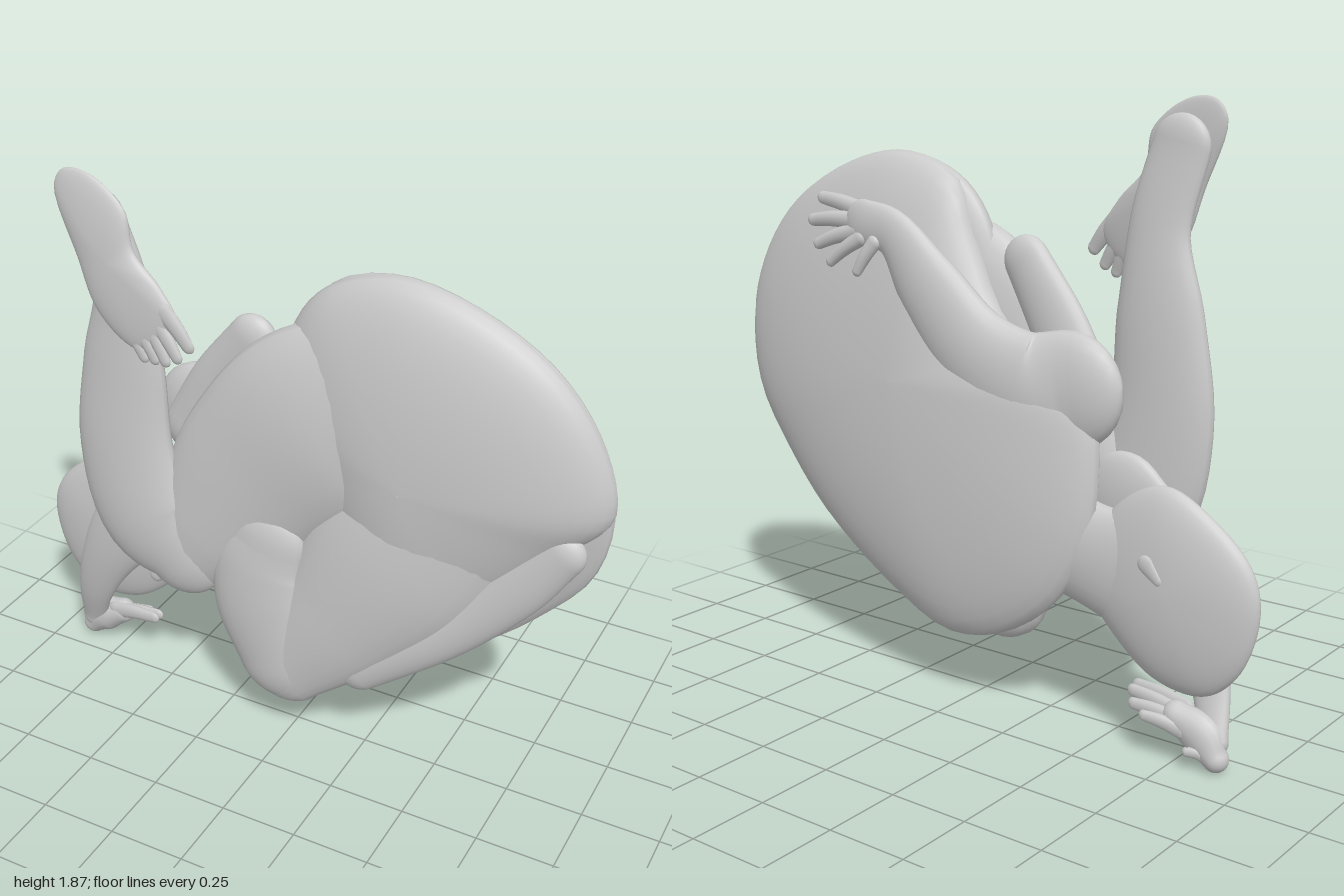
import * as THREE from 'three';

const material = new THREE.MeshStandardMaterial({ color: 0xcccccc, side: THREE.DoubleSide });

// Skin a list of closed rings; the winding is turned outward by signed volume.
function loft(name, rings) {
  const n = rings[0].length, index = [], pts = rings.flat();
  let volume = 0;
  for (let i = 0; i < rings.length - 1; i++) {
    for (let j = 0; j < n; j++) {
      const a = i * n + j, b = i * n + (j + 1) % n;
      for (const t of [[a, b, a + n], [b, b + n, a + n]]) {
        index.push(...t);
        volume += pts[t[0]].dot(pts[t[1]].clone().cross(pts[t[2]]));
      }
    }
  }
  if (volume < 0) index.reverse();
  const geometry = new THREE.BufferGeometry().setFromPoints(pts);
  geometry.setIndex(index);
  geometry.computeVertexNormals();
  const mesh = new THREE.Mesh(geometry, material);
  mesh.name = name;
  return mesh;
}

// Flattened limb with round ends. Stations: [x, y, z, half width, half depth].
function limb(name, stations, steps = 28, sides = 24) {
  const path = new THREE.CatmullRomCurve3(stations.map(s => new THREE.Vector3(s[0], s[1], s[2])));
  const size = new THREE.CatmullRomCurve3(stations.map(s => new THREE.Vector3(s[3], s[4], 0)));
  const rings = [];
  const section = (t, angle, end) => {
    const c = path.getPoint(t), s = size.getPoint(t), dir = path.getTangent(t);
    dir.z = 0;
    dir.normalize();
    c.addScaledVector(dir, end * s.x * Math.sin(angle));
    const k = Math.max(Math.cos(angle), 0.004), ring = [];
    for (let j = 0; j < sides; j++) {
      const a = j / sides * Math.PI * 2, u = Math.cos(a) * s.x * k;
      ring.push(new THREE.Vector3(c.x - dir.y * u, c.y + dir.x * u, c.z + Math.sin(a) * s.y * k));
    }
    rings.push(ring);
  };
  const cap = 7;
  for (let i = cap; i > 0; i--) section(0, i / cap * Math.PI / 2, -1);
  for (let i = 0; i <= steps; i++) section(i / steps, 0, 0);
  for (let i = 1; i <= cap; i++) section(1, i / cap * Math.PI / 2, 1);
  return loft(name, rings);
}

// Domed mass inside a smooth outline; its mid plane may lean in x and y.
function dome(name, outline, [cx, cy, cz], front, back, leanX = 0, leanY = 0) {
  const curve = new THREE.CatmullRomCurve3(outline.map(p => new THREE.Vector3(p[0], p[1], 0)), true);
  const edge = curve.getPoints(64).slice(0, 64), rings = [], steps = 24;
  for (let i = 0; i <= steps; i++) {
    const a = (i / steps - 0.5) * Math.PI;
    const k = Math.max(Math.cos(a), 0.004), h = Math.sin(a);
    rings.push(edge.map(p => {
      const dx = (p.x - cx) * k, dy = (p.y - cy) * k;
      return new THREE.Vector3(cx + dx, cy + dy, cz + dx * leanX + dy * leanY + h * (h > 0 ? front : back));
    }));
  }
  return loft(name, rings);
}

// Fingers or toes: each entry is [x0, y0, z0, x1, y1, z1, radius].
function digits(name, list, depth) {
  const group = new THREE.Group();
  group.name = name;
  list.forEach(([x0, y0, z0, x1, y1, z1, r], i) => group.add(limb(name + (i + 1), [
    [x0, y0, z0, r * 1.15, depth],
    [(x0 + x1) / 2, (y0 + y1) / 2 + 0.005, (z0 + z1) / 2, r, depth],
    [x1, y1, z1, r * 0.8, depth * 0.7],
  ], 8, 10)));
  return group;
}

export function createModel() {
  const model = new THREE.Group();
  model.name = 'curledFigure';

  // Back and shoulders, then the hips in front of them
  const rump = [[0.11, 1.62], [0.32, 1.69], [0.55, 1.65], [0.8, 1.51], [0.95, 1.31], [0.995, 1.1]];
  model.add(dome('torso', [
    [-0.35, 1.08], [-0.12, 1.2], [0.02, 1.44], ...rump,
    [0.95, 0.88], [0.8, 0.68], [0.6, 0.49], [0.3, 0.31], [0.05, 0.22],
    [-0.15, 0.26], [-0.35, 0.4], [-0.46, 0.6], [-0.48, 0.85], [-0.45, 1],
  ], [0.25, 1, -0.045], 0.08, 0.14, 0.06, 0.075));
  model.add(dome('hips', [
    [0, 1.49], ...rump, [0.87, 0.95], [0.7, 0.76], [0.5, 0.58], [0.3, 0.55], [0.16, 0.75], [0.04, 1.05], [-0.04, 1.3],
  ], [0.4, 1.08, 0.005], 0.15, 0.1, 0.01, 0.02));

  // Head, ears and neck
  model.add(dome('head', [
    [-1, 0.5], [-0.97, 0.62], [-0.86, 0.73], [-0.7, 0.81], [-0.57, 0.76], [-0.46, 0.62],
    [-0.45, 0.45], [-0.55, 0.32], [-0.68, 0.23], [-0.84, 0.22], [-0.95, 0.32],
  ], [-0.72, 0.5, -0.085], 0.06, 0.065));
  model.add(limb('neck', [[-0.6, 0.53, -0.085, 0.18, 0.052], [-0.42, 0.57, -0.085, 0.16, 0.062], [-0.25, 0.62, -0.075, 0.22, 0.08]]));
  model.add(limb('frontEar', [[-0.57, 0.375, -0.045, 0.026, 0.016], [-0.55, 0.405, -0.045, 0.036, 0.016]], 8, 12));
  model.add(limb('backEar', [[-0.71, 0.55, -0.143, 0.018, 0.01], [-0.67, 0.59, -0.143, 0.028, 0.01]], 8, 12));

  // Raised leg: thigh down to the knee, shin up to the heel
  model.add(limb('raisedThigh', [
    [0.34, 1.3, 0.02, 0.29, 0.09], [0.1, 1.17, 0.045, 0.32, 0.105], [-0.13, 0.94, 0.05, 0.28, 0.095],
    [-0.29, 0.71, 0.06, 0.21, 0.08], [-0.38, 0.6, 0.07, 0.15, 0.06],
  ]));
  model.add(limb('raisedShin', [
    [-0.38, 0.6, 0.08, 0.15, 0.06], [-0.5, 0.71, 0.09, 0.19, 0.065], [-0.565, 0.95, 0.09, 0.175, 0.06],
    [-0.555, 1.25, 0.09, 0.145, 0.05], [-0.54, 1.5, 0.1, 0.1, 0.035], [-0.59, 1.73, 0.125, 0.095, 0.032],
  ]));
  model.add(dome('raisedFoot', [
    [-0.725, 1.81], [-0.69, 1.865], [-0.6, 1.865], [-0.48, 1.78], [-0.45, 1.66], [-0.36, 1.57],
    [-0.3, 1.47], [-0.35, 1.39], [-0.45, 1.36], [-0.58, 1.45], [-0.65, 1.61],
  ], [-0.53, 1.62, 0.16], 0.03, 0.025, 0.03, -0.06));
  model.add(digits('toe', [
    [-0.34, 1.5, 0.18, -0.26, 1.415, 0.19, 0.028], [-0.36, 1.45, 0.18, -0.3, 1.37, 0.19, 0.025],
    [-0.38, 1.42, 0.18, -0.34, 1.35, 0.19, 0.024], [-0.41, 1.4, 0.18, -0.38, 1.345, 0.185, 0.023],
    [-0.45, 1.39, 0.175, -0.42, 1.34, 0.18, 0.022],
  ], 0.013));

  // Folded leg: thigh down to the low knee, rounded inner side, foot tucked below the hips
  model.add(limb('foldedThigh', [
    [0.62, 1.18, 0.01, 0.25, 0.09], [0.38, 0.83, 0.045, 0.29, 0.105], [0.16, 0.5, 0.07, 0.21, 0.085],
    [0, 0.3, 0.085, 0.15, 0.06],
  ]));
  model.add(limb('foldedShin', [
    [-0.02, 0.31, 0.09, 0.15, 0.06], [-0.08, 0.5, 0.1, 0.165, 0.06], [-0.085, 0.65, 0.1, 0.155, 0.058],
    [-0.06, 0.75, 0.095, 0.135, 0.055],
  ]));
  model.add(limb('tuckedFoot', [
    [0.87, 0.97, 0.05, 0.07, 0.04], [0.73, 0.79, 0.055, 0.085, 0.045], [0.52, 0.57, 0.065, 0.08, 0.045],
    [0.25, 0.37, 0.075, 0.09, 0.045],
  ]));

  // Elbow showing between the raised leg and the back
  model.add(limb('bentElbow', [
    [-0.38, 1.02, -0.02, 0.1, 0.05], [-0.28, 1.19, -0.01, 0.1, 0.045], [-0.15, 1.385, 0, 0.08, 0.04],
  ]));

  // Shoulder and arm wrapped along the back, its hand resting on the hip
  model.add(limb('wrappedArm', [
    [-0.37, 1.04, -0.085, 0.175, 0.065], [-0.24, 1.02, -0.1, 0.18, 0.075], [-0.05, 1.11, -0.115, 0.15, 0.07],
    [0.12, 1.29, -0.125, 0.12, 0.055], [0.25, 1.45, -0.138, 0.075, 0.032], [0.36, 1.48, -0.148, 0.07, 0.022],
  ]));
  model.add(digits('hipFinger', [
    [0.38, 1.51, -0.135, 0.56, 1.54, -0.115, 0.026], [0.4, 1.48, -0.145, 0.59, 1.47, -0.13, 0.025],
    [0.39, 1.45, -0.15, 0.55, 1.4, -0.15, 0.024], [0.37, 1.43, -0.155, 0.49, 1.35, -0.16, 0.023],
    [0.31, 1.42, -0.16, 0.37, 1.33, -0.172, 0.022],
  ], 0.018));

  // Arm reaching past the head down to the ground
  model.add(limb('reachingArm', [
    [-0.5, 0.72, 0.01, 0.14, 0.04], [-0.63, 0.59, 0.02, 0.13, 0.035], [-0.74, 0.42, 0.005, 0.095, 0.035],
    [-0.82, 0.24, -0.025, 0.065, 0.03], [-0.865, 0.09, -0.075, 0.045, 0.032],
  ]));
  model.add(limb('reachingPalm', [
    [-0.88, 0.045, -0.09, 0.04, 0.038], [-0.83, 0.1, -0.085, 0.065, 0.045], [-0.75, 0.14, -0.085, 0.045, 0.042],
  ], 12, 16));
  model.add(digits('groundFinger', [
    [-0.76, 0.155, -0.06, -0.6, 0.18, -0.05, 0.028], [-0.76, 0.14, -0.08, -0.6, 0.175, -0.08, 0.026],
    [-0.76, 0.13, -0.1, -0.62, 0.15, -0.11, 0.024], [-0.78, 0.11, -0.115, -0.67, 0.135, -0.135, 0.022],
    [-0.86, 0.05, -0.11, -0.81, 0.06, -0.13, 0.018],
  ], 0.014));

  return model;
}
